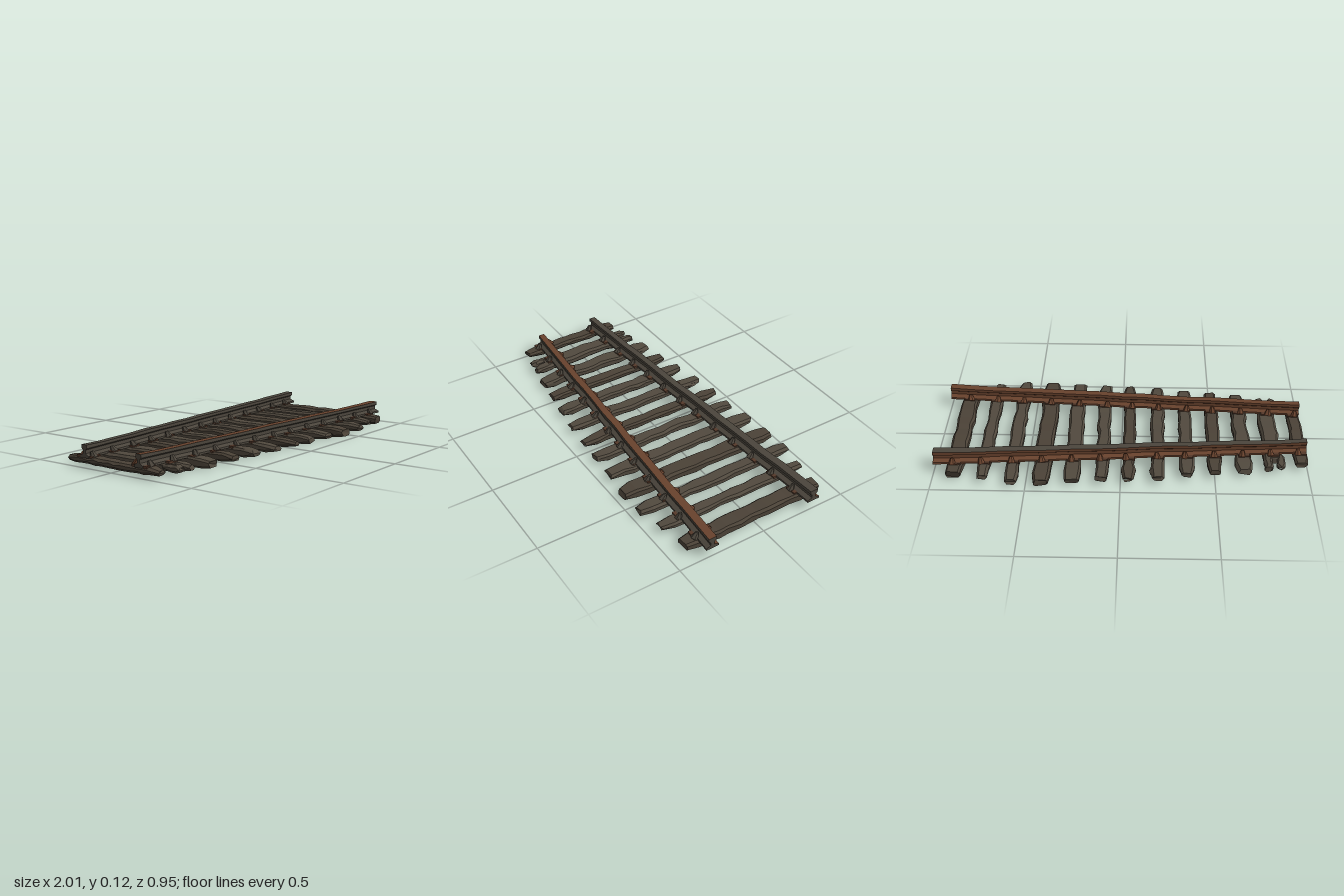
import * as THREE from 'three';

const mat = (name, color, extra = {}) => {
  const m = new THREE.MeshStandardMaterial({ color, flatShading: true, ...extra });
  m.name = name;
  return m;
};

// Skin a list of matching rings; each ring edge may use its own material slot
function loft(rings, slots = null) {
  const n = rings[0].length, pos = [], geo = new THREE.BufferGeometry();
  const tri = (...p) => p.forEach(v => pos.push(v.x, v.y, v.z));
  for (let j = 0; j < n; j++) {
    const start = pos.length / 3, k = (j + 1) % n;
    for (let i = 0; i < rings.length - 1; i++) {
      const a = rings[i][j], b = rings[i][k], c = rings[i + 1][k], d = rings[i + 1][j];
      tri(a, b, c);
      tri(a, c, d);
    }
    if (slots) geo.addGroup(start, pos.length / 3 - start, slots[j]);
  }
  // End caps
  const capStart = pos.length / 3;
  [[rings[0], true], [rings[rings.length - 1], false]].forEach(([ring, flip]) => {
    const flat = ring.map(v => Math.abs(ring[0].x - ring[1].x) < 1e-6 && ring[0].x === v.x
      ? new THREE.Vector2(v.y, v.z) : new THREE.Vector2(v.x, v.y));
    THREE.ShapeUtils.triangulateShape(flat, []).forEach(([a, b, c]) =>
      flip ? tri(ring[a], ring[c], ring[b]) : tri(ring[a], ring[b], ring[c]));
  });
  if (slots) geo.addGroup(capStart, pos.length / 3 - capStart, 0);
  geo.setAttribute('position', new THREE.Float32BufferAttribute(pos, 3));
  geo.computeVertexNormals();
  return geo;
}

export function createModel() {
  const group = new THREE.Group();
  group.name = 'railTrack';
  const wood = mat('weathered wood', 0x51493e);
  const darkWood = mat('brown wood', 0x4b4237);
  const steel = mat('dull steel', 0x4b453c);
  const rust = mat('rust', 0x68422d);
  const darkRust = mat('dark rust', 0x55392a);

  let seed = 7;
  const rnd = () => (seed = (seed * 16807) % 2147483647) / 2147483647;
  const jit = a => (rnd() * 2 - 1) * a;

  const add = (name, geo, material, parent = group) => {
    const m = new THREE.Mesh(geo, material);
    m.name = name;
    parent.add(m);
    return m;
  };

  // Worn timber with chamfered edges, running along z
  function timber(x0, x1, z0, z1, y0, y1, steps) {
    const rings = [];
    for (let i = 0; i <= steps; i++) {
      const t = i / steps, end = i === 0 || i === steps;
      const s = end ? 0.006 : 0;
      const l = x0 + s + jit(0.006), r = x1 - s + jit(0.006);
      const b = y0 + s + rnd() * 0.006, h = y1 - s - rnd() * 0.005;
      const c = 0.008 + rnd() * 0.006;
      const z = z0 + (z1 - z0) * t + (end ? 0 : jit(0.012));
      const ring = [[l + c, b], [r - c, b], [r, b + c], [r, h - c],
        [r - c, h], [l + c, h], [l, h - c], [l, b + c]];
      rings.push(ring.map(([x, y]) => new THREE.Vector3(x, y, z + (end ? jit(0.008) : 0))));
    }
    return loft(rings);
  }

  // Sleepers: left edge, right edge, half length, underside height
  const sleepers = [
    [-1, -0.93, 0.295, 0.018], [-0.87, -0.765, 0.33, 0.008], [-0.7, -0.615, 0.355, 0.008],
    [-0.54, -0.465, 0.375, 0.013], [-0.39, -0.315, 0.395, 0.013], [-0.235, -0.16, 0.42, 0.013],
    [-0.075, -0.007, 0.437, 0.016], [0.065, 0.137, 0.437, 0.01], [0.215, 0.3, 0.453, 0.01],
    [0.37, 0.465, 0.466, 0.004], [0.54, 0.615, 0.468, 0.01], [0.695, 0.765, 0.437, 0.016],
    [0.84, 0.93, 0.408, 0],
  ];
  sleepers.forEach(([x0, x1, half, y0], i) => {
    const material = i % 3 === 0 ? darkWood : wood;
    if (i === 1) {
      // Split sleeper with two prongs at each end
      add('splitSleeper', timber(x0 + 0.005, x1 - 0.003, -0.25, 0.25, y0, 0.06, 9), material);
      for (const s of [-1, 1]) {
        const [a, b] = s < 0 ? [-half, -0.2] : [0.2, half];
        add('splitProng', timber(x0 - 0.01, x0 + 0.035, a + 0.01, b - 0.005, y0 + 0.005, 0.056, 4), material);
        add('splitProng', timber(x1 - 0.05, x1, a, b, y0 + 0.004, 0.057, 4), material);
      }
    } else {
      add('sleeper', timber(x0, x1, -half, half, y0, 0.06, 13), material);
    }
  });
  // Splinter on a broken sleeper end
  add('splinter', timber(-0.18, -0.148, -0.39, -0.34, 0.025, 0.052, 2), wood);

  // Rails: top, front side, underside and back side, spreading towards +x
  const railZ = x => 0.245 + 0.067 * x;
  const slots = top => [top, 0, 0, 0, 0, 0, 2, 1, 1, 1, 1, 1];
  for (const side of [1, -1]) {
    const rings = [];
    for (let i = 0; i <= 16; i++) {
      const x = -1 + i / 8, k = 0.9 + 0.12 * x, end = i === 0 || i === 16;
      const h = 0.022 * k, w = 0.011 * k, f = 0.036 * k;
      const z = side * railZ(x) + (end ? 0 : jit(0.003));
      const top = end ? 0.119 : 0.116 + jit(0.002);
      const profile = [[-h, top], [h, top], [h, 0.1], [w, 0.092], [w, 0.074], [f, 0.063], [f, 0.052],
        [-f, 0.052], [-f, 0.063], [-w, 0.074], [-w, 0.092], [-h, 0.1]];
      rings.push(profile.map(([u, y]) => new THREE.Vector3(x, y, z + u)));
    }
    add(side > 0 ? 'frontRail' : 'backRail', loft(rings, slots(side > 0 ? 1 : 0)), [steel, rust, darkRust]);
  }

  // Tie plates and spikes where rails cross sleepers
  const plateGeo = new THREE.BoxGeometry(0.06, 0.012, 0.105);
  const spikeGeo = new THREE.CylinderGeometry(0.009, 0.021, 0.034, 6);
  for (const [x0, x1] of sleepers) {
    const x = (x0 + x1) / 2;
    for (const side of [1, -1]) {
      const fixing = new THREE.Group();
      fixing.name = 'railFixing';
      fixing.position.set(x, 0, side * railZ(x));
      fixing.rotation.y = -side * 0.067;
      group.add(fixing);
      add('tiePlate', plateGeo, darkRust, fixing).position.y = 0.058;
      for (const s of [1, -1]) {
        const spike = add('spike', spikeGeo, s > 0 ? steel : rust, fixing);
        spike.position.set(s * side * 0.012 + jit(0.006), 0.071, s * 0.037);
        spike.rotation.set(-s * 0.45, rnd() * 3, jit(0.2));
      }
    }
  }
  return group;
}
